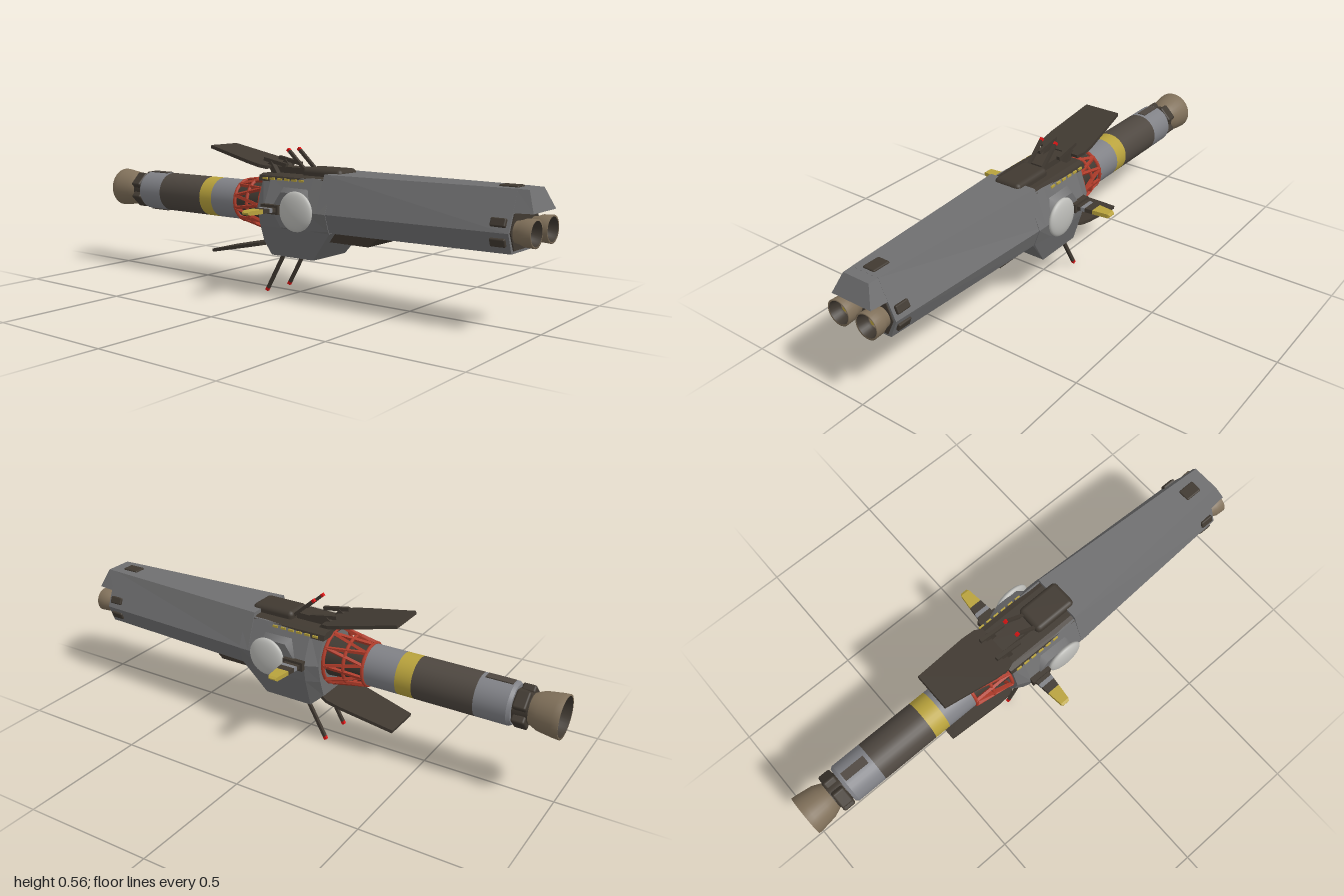
import * as THREE from 'three';
import { RoundedBoxGeometry } from 'three/addons/geometries/RoundedBoxGeometry.js';

const AXIS = 0.34; // height of the craft's long axis

const mat = (name, color, side = THREE.FrontSide) => {
  const m = new THREE.MeshStandardMaterial({ color, side });
  m.name = name;
  return m;
};

// Full ring, counter-clockwise from +z, from a right-hand half profile listed bottom to top.
const ring = (half, z) => {
  const right = half.map(([x, y, dz = 0]) => [x, y, z + dz]);
  return [...right, ...right.map(([x, y, w]) => [-x, y, w]).reverse()];
};

// Flat-shaded skin over rings ordered back to front, with end caps.
function loft(rings) {
  const p = [];
  const n = rings[0].length;
  for (let k = 0; k + 1 < rings.length; k++) {
    for (let i = 0; i < n; i++) {
      const j = (i + 1) % n, A = rings[k], B = rings[k + 1];
      p.push(...A[i], ...A[j], ...B[j], ...A[i], ...B[j], ...B[i]);
    }
  }
  const back = rings[0], front = rings[rings.length - 1];
  for (let i = 1; i + 1 < n; i++) {
    p.push(...front[0], ...front[i], ...front[i + 1]);
    p.push(...back[0], ...back[i + 1], ...back[i]);
  }
  const g = new THREE.BufferGeometry();
  g.setAttribute('position', new THREE.Float32BufferAttribute(p, 3));
  g.computeVertexNormals();
  return g;
}

export function createModel() {
  const model = new THREE.Group();
  const hullGray = mat('hull gray', 0x6f6f70);
  const tankGray = mat('tank gray', 0x808186);
  const dark = mat('dark brown', 0x403931, THREE.DoubleSide);
  const tankDark = mat('tank brown', 0x4e4740);
  const tan = mat('nozzle tan', 0x80705a, THREE.DoubleSide);
  const yellow = mat('marking yellow', 0xb8a23c);
  const red = mat('truss red', 0xb03c2a);
  const tipRed = mat('tip red', 0xd81414);
  const pale = mat('dome pale gray', 0xbcbcb8);

  const add = (name, geo, material, x = 0, y = 0, z = 0, parent = model) => {
    const m = new THREE.Mesh(geo, material);
    m.name = name;
    m.position.set(x, y, z);
    parent.add(m);
    return m;
  };
  const box = (name, w, h, d, material, x, y, z, parent) =>
    add(name, new THREE.BoxGeometry(w, h, d), material, x, y, z, parent);
  // Square bar between two points
  const bar = (name, a, b, w, material, parent) => {
    const A = new THREE.Vector3(...a), B = new THREE.Vector3(...b);
    const m = box(name, w, w, A.distanceTo(B), material, 0, 0, 0, parent);
    m.position.copy(A).add(B).multiplyScalar(0.5);
    m.quaternion.setFromUnitVectors(new THREE.Vector3(0, 0, 1), B.sub(A).normalize());
    return m;
  };
  // Round part along z, from z0 (radius r0) to z1 (radius r1)
  const drum = (name, z0, r0, z1, r1, material, x = 0, sides = 32) =>
    add(name, new THREE.CylinderGeometry(r1, r0, z1 - z0, sides).rotateX(Math.PI / 2),
      material, x, AXIS, (z0 + z1) / 2);
  // Lathe along z; profile points are [radius, z]
  const turned = (name, pts, material, x, sides = 32) =>
    add(name, new THREE.LatheGeometry(pts.map(([r, z]) => new THREE.Vector2(r, z)), sides)
      .rotateX(Math.PI / 2), material, x, AXIS, 0);

  // Long forward hull with overhanging brow
  add('forwardHull', loft([
    ring([[0.125, 0.27], [0.15, 0.34], [0.1, 0.478]], 0.19),
    ring([[0.09, 0.27], [0.118, 0.34], [0.057, 0.478]], 0.93),
  ]), hullGray);
  add('noseBrow', loft([
    ring([[0.09, 0.403], [0.057, 0.478]], 0.92),
    ring([[0.084, 0.405, 0.03], [0.055, 0.477]], 0.968),
  ]), hullGray);
  add('nosePlate', loft([
    ring([[0.08, 0.28], [0.108, 0.34], [0.083, 0.4]], 0.926),
    ring([[0.08, 0.28], [0.108, 0.34], [0.083, 0.4]], 0.934),
  ]), dark);

  // Deep midsection behind the forward hull
  add('midHull', loft([
    ring([[0.085, 0.2], [0.11, 0.27], [0.125, 0.34], [0.09, 0.448]], -0.11),
    ring([[0.1, 0.155], [0.135, 0.27], [0.148, 0.34], [0.1, 0.455]], -0.06),
    ring([[0.1, 0.155], [0.135, 0.27], [0.15, 0.34], [0.102, 0.46]], 0.14),
    ring([[0.122, 0.266], [0.128, 0.275], [0.15, 0.34], [0.102, 0.46]], 0.23),
  ]), hullGray);
  add('rearDeck', loft([
    ring([[0.105, 0.437], [0.1, 0.458], [0.08, 0.464]], -0.12),
    ring([[0.11, 0.437], [0.103, 0.458], [0.08, 0.464]], 0.19),
  ]), dark);
  add('dorsalHatch', new RoundedBoxGeometry(0.115, 0.05, 0.18, 2, 0.018), dark, 0, 0.468, 0.14);
  box('dorsalSpine', 0.06, 0.035, 0.15, dark, 0, 0.47, -0.03);
  add('chinBay', loft([
    ring([[0.078, 0.228], [0.085, 0.275]], 0.19),
    ring([[0.078, 0.228], [0.085, 0.275]], 0.37),
    ring([[0.078, 0.262], [0.085, 0.275]], 0.41),
  ]), dark);
  box('chinPanel', 0.15, 0.01, 0.15, hullGray, 0, 0.268, 0.475);

  // Thruster blocks around the nose
  for (const y of [0.478, 0.27])
    add('noseThruster', new RoundedBoxGeometry(0.05, 0.012, 0.07, 2, 0.005), dark, 0, y, 0.88);

  for (const s of [1, -1]) {
    for (const [y, tilt] of [[0.372, 0.42], [0.308, -0.38]])
      add('sideThruster', new RoundedBoxGeometry(0.016, 0.03, 0.055, 2, 0.005),
        dark, s * 0.108, y, 0.89).rotation.z = s * tilt;

    // Forward engine nozzles
    const x = s * 0.061;
    turned('engineNozzle', [[0.036, 0.93], [0.04, 0.95], [0.046, 0.965], [0.048, 1], [0.042, 1]], tan, x);
    turned('engineLiner', [[0, 0.945], [0.02, 0.95], [0.034, 0.97], [0.042, 1]], dark, x);
    add('engineRing', new THREE.TorusGeometry(0.024, 0.004, 6, 24), tan, x, AXIS, 0.963);
    drum('engineCore', 0.945, 0.01, 0.975, 0.009, yellow, x, 16);

    // Side sensor dome on its six-sided mount
    add('domeMount', new THREE.CylinderGeometry(0.095, 0.13, 0.05, 6).rotateZ(-s * Math.PI / 2)
      .scale(1, 0.8, 1), hullGray, s * 0.122, AXIS, 0.07);
    add('sideDome', new THREE.SphereGeometry(0.075, 32, 20).scale(0.29, 1, 1),
      pale, s * 0.154, AXIS, 0.1);

    // Short side fin in coloured segments
    const fin = new THREE.Group();
    fin.name = 'sideFin';
    fin.position.set(0, AXIS, -0.02);
    fin.rotation.y = s * Math.PI / 2;
    model.add(fin);
    const cut = (w, h, z) => ring([[w, -h], [w, h]], z);
    const finAt = (z) => cut(0.035 - (z - 0.14) * 0.11, 0.008, z);
    add('finRoot', loft([finAt(0.13), finAt(0.178)]), dark, 0, 0, 0, fin);
    add('finBand', loft([finAt(0.178), finAt(0.195)]), tankGray, 0, 0, 0, fin);
    add('finMiddle', loft([finAt(0.195), finAt(0.226)]), dark, 0, 0, 0, fin);
    add('finTip', loft([finAt(0.226), finAt(0.288), cut(0.014, 0.002, 0.297)]), yellow, 0, 0, 0, fin);
    box('finSocket', 0.03, 0.035, 0.085, dark, s * 0.148, AXIS, -0.02);

    // Deck edge markings
    for (let i = 0; i < 6; i++)
      box('deckMarking', 0.006, 0.008, 0.022, yellow, s * 0.107, 0.448, -0.085 + i * 0.035);

    // Antennas with red tips
    bar('lowerAntenna', [s * 0.068, 0.17, -0.018], [s * 0.068, 0.014, -0.106], 0.012, dark);
    bar('lowerAntennaTip', [s * 0.068, 0.014, -0.106], [s * 0.068, 0.003, -0.112], 0.0125, tipRed);
    bar('upperAntenna', [s * 0.032, 0.47, 0.06], [s * 0.032, 0.549, -0.027], 0.012, dark);
    bar('upperAntennaTip', [s * 0.032, 0.549, -0.027], [s * 0.032, 0.556, -0.035], 0.0125, tipRed);
  }

  // Large upper and lower tail plates with their brackets
  const outline = new THREE.Shape([[-0.085, 0], [0.085, 0], [0.098, 0.03], [0.098, 0.085],
    [0.075, 0.307], [-0.075, 0.307], [-0.098, 0.085], [-0.098, 0.03]]
    .map(([x, y]) => new THREE.Vector2(x, y)));
  for (const up of [true, false]) {
    const tail = new THREE.Group();
    tail.name = up ? 'upperTail' : 'lowerTail';
    if (!up) {
      tail.rotation.z = Math.PI;
      tail.position.y = 2 * AXIS;
    }
    model.add(tail);
    add('tailPlate', new THREE.ExtrudeGeometry(outline, { depth: 0.013, bevelEnabled: false })
      .rotateX(-Math.PI / 2), dark, 0, 0.48, -0.1, tail).rotation.x = 0.213;
    for (const x of [-0.045, 0.045]) {
      bar('tailBracket', [x, 0.445, -0.07], [x, 0.503, -0.11], 0.022, dark, tail);
      if (up) bar('tailBrace', [x, 0.495, -0.03], [x, 0.515, -0.14], 0.014, dark, tail);
    }
  }

  // Red truss around a dark core
  drum('trussCore', -0.28, 0.068, -0.1, 0.082, dark);
  const at = (r, a, z) => [r * Math.cos(a), AXIS + r * Math.sin(a), z];
  const bays = 10, step = Math.PI * 2 / bays;
  for (let i = 0; i < bays; i++) {
    const a = i * step;
    bar('trussStrut', at(0.108, a, -0.118), at(0.08, a + step / 2, -0.27), 0.011, red);
    bar('trussStrut', at(0.108, a + step, -0.118), at(0.08, a + step / 2, -0.27), 0.011, red);
  }
  for (const [r, z] of [[0.107, -0.118], [0.093, -0.195], [0.081, -0.268]])
    add('trussRing', new THREE.TorusGeometry(r, 0.007, 6, 20), red, 0, AXIS, z);

  // Banded rear tank
  drum('tankFront', -0.4, 0.08, -0.272, 0.08, tankGray);
  drum('tankYellowBand', -0.465, 0.08, -0.4, 0.08, yellow);
  drum('tankMiddle', -0.7, 0.08, -0.465, 0.08, tankDark);
  drum('tankRear', -0.82, 0.08, -0.7, 0.08, tankGray);
  drum('tankEnd', -0.832, 0.072, -0.82, 0.08, tankGray);
  for (const y of [AXIS + 0.079, AXIS - 0.079])
    box('tankPanel', 0.034, 0.006, 0.1, tankDark, 0, y, -0.765);

  // Engine collar and rear nozzle
  drum('rearCollar', -0.89, 0.055, -0.83, 0.06, dark);
  for (let i = 0; i < 4; i++) {
    const a = i * Math.PI / 2 + Math.PI / 4;
    const pod = add('collarPod', new RoundedBoxGeometry(0.03, 0.07, 0.05, 2, 0.008), dark,
      0.058 * Math.cos(a), AXIS + 0.058 * Math.sin(a), -0.86);
    pod.rotation.z = a;
  }
  turned('rearNozzle', [[0.074, -1], [0.08, -1], [0.078, -0.975], [0.07, -0.92], [0.056, -0.888]], tan, 0);
  turned('rearNozzleLiner', [[0.074, -1], [0.064, -0.93], [0.045, -0.9], [0, -0.895]], dark, 0);
  drum('rearCore', -0.935, 0.016, -0.895, 0.02, yellow, 0, 16);

  return model;
}
